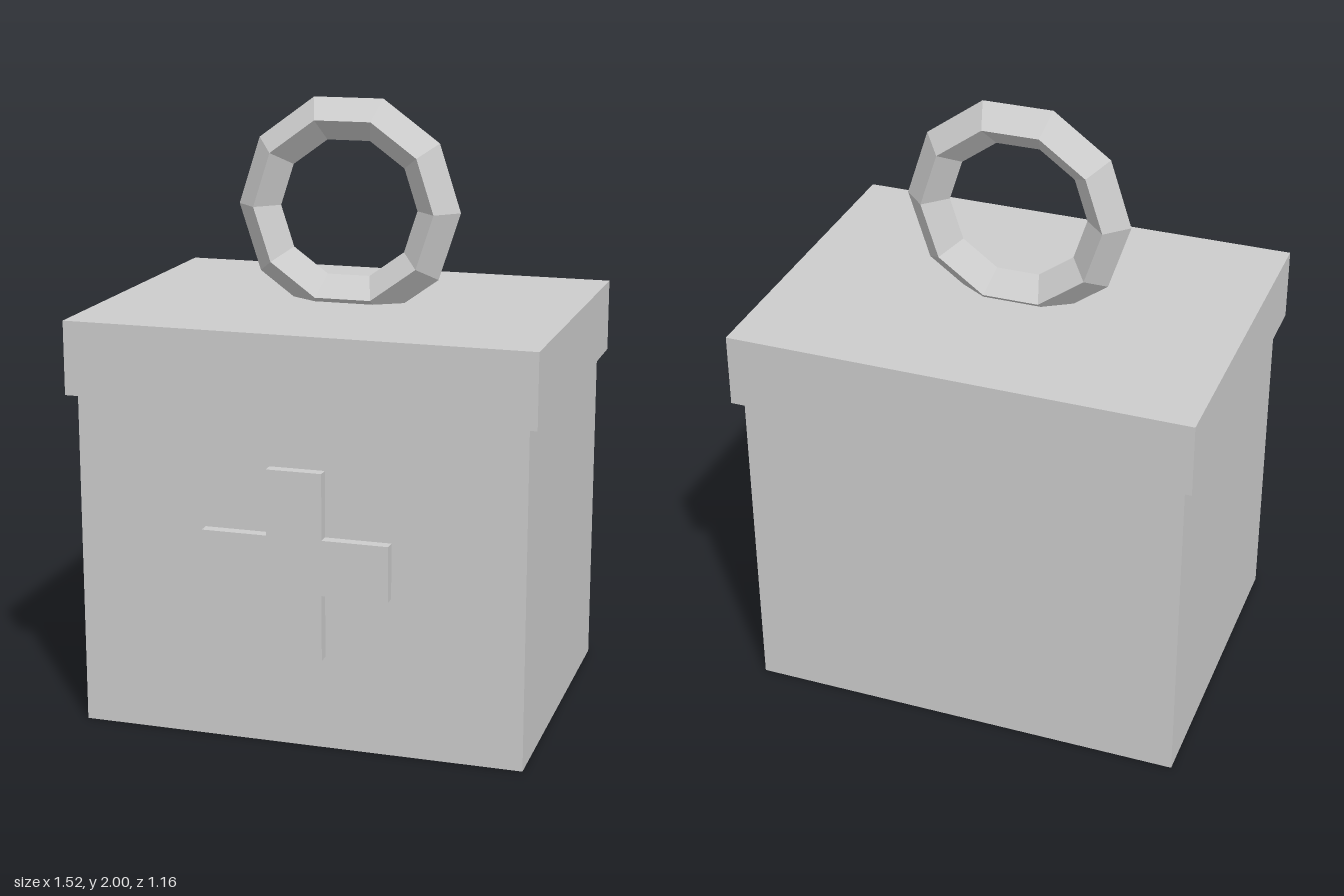
import * as THREE from 'three';

export function createModel() {
  const model = new THREE.Group();
  const lightGrey = new THREE.MeshStandardMaterial({ color: 0xcccccc, flatShading: true });
  lightGrey.name = 'lightGrey';

  const Z = -0.003; // box axis sits slightly back because of the raised cross

  function add(name, geometry, x, y, z) {
    const mesh = new THREE.Mesh(geometry, lightGrey);
    mesh.name = name;
    mesh.position.set(x, y, z);
    model.add(mesh);
    return mesh;
  }

  // Box body and overhanging lid
  add('body', new THREE.BoxGeometry(1.458, 1.1, 1.09), 0, 0.55, Z);
  add('lid', new THREE.BoxGeometry(1.518, 0.24, 1.153), 0, 1.22, Z);

  // Ring handle: ten sides around, diamond cross-section, sunk into the lid
  add('ringHandle', new THREE.TorusGeometry(0.303, 0.072, 4, 10), 0, 1.643, Z);

  // Raised cross on the front
  const L = 0.304, w = 0.09;
  const outline = [
    [-w, -L], [w, -L], [w, -w], [L, -w], [L, w], [w, w],
    [w, L], [-w, L], [-w, w], [-L, w], [-L, -w], [-w, -w],
  ].map(([x, y]) => new THREE.Vector2(x, y));
  const cross = new THREE.ExtrudeGeometry(new THREE.Shape(outline), { depth: 0.047, bevelEnabled: false });
  add('frontCross', cross, 0, 0.61, 0.532);

  return model;
}
